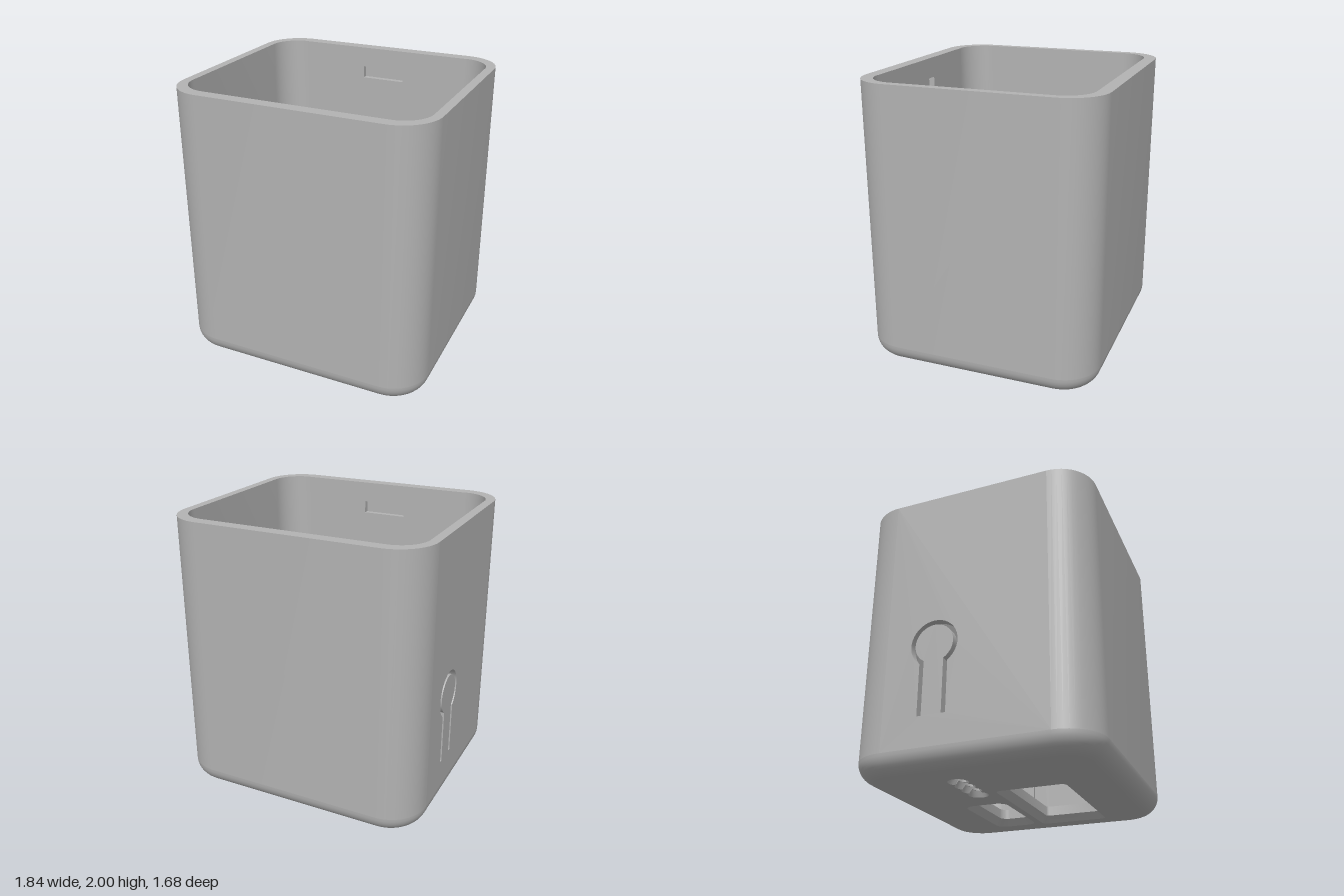
import * as THREE from 'three';
import { toCreasedNormals } from 'three/addons/utils/BufferGeometryUtils.js';

const FLOOR = 0.12, LEDGE = 1.38, TOP = 2;
const HX = 0.92, HZ = 0.84, R = 0.27;      // outer shell
const SEG = 12;

// Rounded rectangle as [x, z] points; it starts and ends on the -x side.
function ring(hx, hz, r, cx = 0, cz = 0) {
  const pts = [];
  [[-1, 1], [1, 1], [1, -1], [-1, -1]].forEach(([sx, sz], k) => {
    for (let i = 0; i <= SEG; i++) {
      const a = Math.PI - (k + i / SEG) * Math.PI / 2;
      pts.push([cx + sx * (hx - r) + r * Math.cos(a), cz + sz * (hz - r) + r * Math.sin(a)]);
    }
  });
  return pts;
}

// Skin between rising levels [points, y]; inward flips the faces.
function loft(levels, { closed = true, inward = false } = {}) {
  const pos = [];
  for (let j = 0; j + 1 < levels.length; j++) {
    const [lo, y0] = levels[j], [hi, y1] = levels[j + 1], n = lo.length;
    for (let i = 0; i < (closed ? n : n - 1); i++) {
      const k = (i + 1) % n;
      const a = [lo[i][0], y0, lo[i][1]], b = [lo[k][0], y0, lo[k][1]];
      const c = [hi[k][0], y1, hi[k][1]], d = [hi[i][0], y1, hi[i][1]];
      pos.push(...(inward ? [a, c, b, a, d, c] : [a, b, c, a, c, d]).flat());
    }
  }
  const g = new THREE.BufferGeometry();
  g.setAttribute('position', new THREE.Float32BufferAttribute(pos, 3));
  return toCreasedNormals(g, 0.5);
}

const toShape = (pts) => new THREE.Shape(pts.map(([x, y]) => new THREE.Vector2(x, y)));

// Horizontal face with holes, facing up or down.
function flat(outline, holes, y, up = true) {
  const map = (pts) => pts.map(([x, z]) => [x, up ? -z : z]);
  const s = toShape(map(outline));
  s.holes = holes.map((h) => toShape(map(h)));
  return new THREE.ShapeGeometry(s).rotateX(up ? -Math.PI / 2 : Math.PI / 2).translate(0, y, 0);
}

// Upright slab with one hole, extruded along +z.
function slab(x0, x1, y0, y1, hole, depth) {
  const s = toShape([[x0, y0], [x1, y0], [x1, y1], [x0, y1]]);
  s.holes = [toShape(hole)];
  return new THREE.ExtrudeGeometry(s, { depth, bevelEnabled: false });
}

// Row of four overlapping circles as one outline.
const holeX = [-0.56, -0.455, -0.35, -0.245], holeZ = -0.19;
function scallop(r) {
  const pts = [], cut = Math.acos(0.0525 / r);
  const arc = (cx, a, b) => {
    for (let i = 0; i <= 12; i++) {
      const t = a + (b - a) * i / 12;
      pts.push([cx + r * Math.cos(t), holeZ + r * Math.sin(t)]);
    }
  };
  holeX.forEach((x, i) => arc(x, i ? Math.PI - cut : Math.PI, i < 3 ? cut : 0));
  [...holeX].reverse().forEach((x, i) => arc(x, i ? -cut : 0, i < 3 ? cut - Math.PI : -Math.PI));
  return pts;
}

export function createModel() {
  const group = new THREE.Group();
  const grey = new THREE.MeshStandardMaterial({ color: 0xb2b2b2 });
  grey.name = 'grey plastic';
  const add = (name, geo) => {
    const m = new THREE.Mesh(geo, grey);
    m.name = name;
    group.add(m);
    return m;
  };

  // Outer shell: rounded foot, then walls left open on the -x side for the button panel
  const fillet = [];
  for (let i = 0; i <= 10; i++) {
    const a = i / 10 * Math.PI / 2, inset = 0.13 * (1 - Math.sin(a));
    fillet.push([ring(HX - inset, HZ - inset, R - inset), 0.13 * (1 - Math.cos(a))]);
  }
  add('roundedFoot', loft(fillet));
  const outer = ring(HX, HZ, R);
  add('outerWalls', loft([[outer, 0.13], [outer, TOP]], { closed: false }));

  // Button panel: thin wall with a keyhole-shaped slot around a springy tongue
  const bz = -0.22, by = 0.835, slotEnd = 0.34;
  const contour = (r, half) => {
    const a = Math.asin(half / r), pts = [[bz - half, slotEnd]];
    for (let i = 0; i <= 32; i++) {
      const t = -Math.PI / 2 - a - (2 * Math.PI - 2 * a) * i / 32;
      pts.push([bz + r * Math.cos(t), by + r * Math.sin(t)]);
    }
    pts.push([bz + half, slotEnd]);
    return pts;
  };
  const slot = [...contour(0.168, 0.1), ...contour(0.136, 0.07).reverse()];
  add('buttonPanel', toCreasedNormals(
    slab(-(HZ - R), HZ - R, 0.13, TOP, slot, 0.06).rotateY(-Math.PI / 2).translate(-0.86, 0, 0), 0.5));

  // Wedge and pin behind the button
  const wedge = new THREE.ExtrudeGeometry(toShape([[-0.862, 0.62], [-0.8, 0.76], [-0.8, 0.86], [-0.862, 0.96]]),
    { depth: 0.14, bevelEnabled: false });
  add('buttonWedge', wedge.translate(0, 0, bz - 0.07));
  add('buttonPin', new THREE.CylinderGeometry(0.029, 0.029, 0.08, 20).rotateZ(Math.PI / 2))
    .position.set(-0.78, 0.81, bz);
  add('guideRib', new THREE.BoxGeometry(0.07, LEDGE - FLOOR, 0.065))
    .position.set(-0.775, (LEDGE + FLOOR) / 2, -0.0375);

  // Lower cavity with the button recess (-x) and a cable notch (+x)
  const lower = ring(0.8, 0.628, 0.18);
  lower.splice(2 * (SEG + 1), 0, [0.8, -0.07], [0.83, -0.07], [0.83, -0.18], [0.8, -0.18]);
  lower.unshift([-0.86, -0.07], [-0.8, -0.07]);
  lower.push([-0.8, -0.4], [-0.86, -0.37]);
  add('lowerCavity', loft([[lower, FLOOR], [lower, LEDGE]], { closed: false, inward: true }));
  add('ledge', flat(ring(0.87, 0.77, 0.21), [lower], LEDGE));

  // Upper cavity: rounded ends, and front and back panels with a latch pocket
  const ux = 0.857, uz = 0.752, ur = 0.2;
  const upper = ring(ux, uz, ur), n = SEG + 1;
  const ends = [upper.slice(n, 3 * n), [...upper.slice(3 * n), ...upper.slice(0, n)]];
  for (const end of ends)
    add('upperCavityEnd', loft([[end, LEDGE], [end, TOP]], { closed: false, inward: true }));
  const pocket = [[-0.165, 1.76], [0.165, 1.76], [0.165, 1.85], [-0.165, 1.85]];
  for (const s of [1, -1]) {
    add('latchPanel', slab(ur - ux, ux - ur, LEDGE, TOP - 0.001, pocket, 0.05))
      .position.z = s > 0 ? uz : -uz - 0.05;
    add('latchPocketBack', new THREE.BoxGeometry(0.4, 0.15, 0.015)).position.set(0, 1.805, s * 0.803);
  }
  add('rim', flat(outer, [upper], TOP));

  // Floor with two flared windows and a row of four countersunk holes
  const windows = [
    (g) => ring(0.4425 + g, 0.2075 + g, 0.025 + g * 0.3, 0.2025, 0.1925),
    (g) => ring(0.2875 + g, 0.115 + g, 0.06 + g * 0.3, 0.3325, -0.26),
  ];
  const wide = scallop(0.07), narrow = scallop(0.0535);
  add('floor', flat(lower, [...windows.map((w) => w(0)), wide], FLOOR));
  add('underside', flat(fillet[0][0], [...windows.map((w) => w(0.04)), wide], 0, false));
  for (const w of windows)
    add('window', loft([[w(0.04), 0], [w(0), 0.05], [w(0), FLOOR]], { inward: true }));

  add('lowerCountersink', loft([[wide, 0], [narrow, 0.045]], { inward: true }));
  add('upperCountersink', loft([[narrow, 0.075], [wide, FLOOR]], { inward: true }));
  const circles = holeX.map((x) => ring(0.048, 0.048, 0.048, x, holeZ)
    .filter((p, i) => i % (SEG + 1) < SEG));
  add('holeWebTop', flat(narrow, circles, 0.075));
  add('holeWebBottom', flat(narrow, circles, 0.045, false));
  for (const c of circles) add('hole', loft([[c, 0.045], [c, 0.075]], { inward: true }));

  return group;
}
